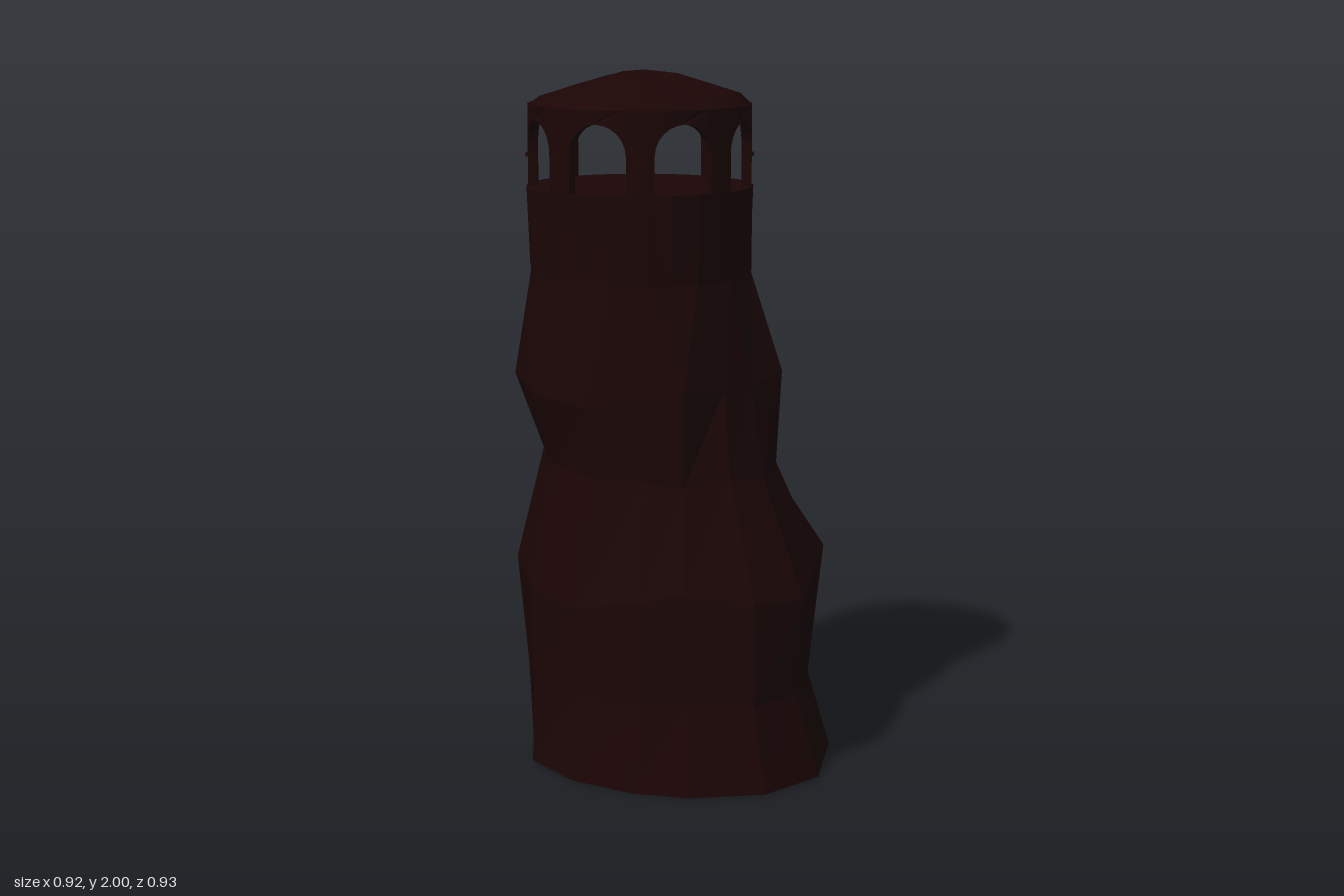
import * as THREE from 'three';

const CX = -0.097, CZ = -0.03, R = 0.32; // axis and radius of the upper tower

// Rough faceted trunk: each ring lists radii (and height offsets) at the shared angles
const ANGLES = [3, 36, 60, 86, 106, 133, 160, 189, 216, 245, 280, 308, 337].map(THREE.MathUtils.degToRad);
const RINGS = [
  { y: 0.02, r: [0.46, 0.504, 0.50, 0.461, 0.437, 0.432, 0.44, 0.425, 0.41, 0.405, 0.39, 0.40, 0.485] },
  { y: 0.24, r: [0.395, 0.43, 0.44, 0.40, 0.40, 0.41, 0.43, 0.435, 0.43, 0.43, 0.405, 0.40, 0.425] },
  { y: 0.57, r: [0.42, 0.45, 0.44, 0.385, 0.39, 0.41, 0.44, 0.467, 0.475, 0.452, 0.473, 0.417, 0.492],
    dy: [0.02, -0.05, -0.03, 0, -0.03, -0.06, -0.03, 0, 0, 0, 0, 0, 0] },
  { y: 0.87, r: [0.297, 0.31, 0.31, 0.30, 0.31, 0.345, 0.37, 0.385, 0.365, 0.34, 0.30, 0.268, 0.285],
    dy: [0, -0.01, 0, -0.02, 0, 0, 0.02, 0.03, 0.02, 0.01, 0, 0, 0] },
  { y: 1.12, r: [0.312, 0.268, 0.275, 0.327, 0.33, 0.385, 0.43, 0.468, 0.48, 0.437, 0.37, 0.305, 0.315],
    dy: [0.02, 0, 0, 0.01, 0, -0.04, -0.02, 0, -0.01, 0, -0.02, -0.05, 0] },
  { y: 1.42, cx: CX, cz: CZ, s: 0.32 },
  { y: 1.665, cx: CX, cz: CZ, s: 0.322 },
];

function trunkGeometry() {
  const n = ANGLES.length, pos = [], index = [];
  RINGS.forEach(({ y, r, dy, cx = 0, cz = 0, s }, i) => {
    ANGLES.forEach((a, j) => {
      const rad = s ?? r[j], x = cx + rad * Math.cos(a), z = cz + rad * Math.sin(a);
      pos.push(x, i === 0 ? Math.max(0, 0.016 - 0.035 * z) : y + (dy ? dy[j] : 0), z);
    });
  });
  for (let i = 0; i < RINGS.length - 1; i++) {
    for (let j = 0; j < n; j++) {
      const a = i * n + j, b = i * n + (j + 1) % n;
      index.push(a, a + n, b, b, a + n, b + n);
    }
  }
  // Underside and top caps
  const top = (RINGS.length - 1) * n, c = pos.length / 3;
  pos.push(0, 0.016, 0, CX, 1.665, CZ);
  for (let j = 0; j < n; j++) {
    const k = (j + 1) % n;
    index.push(c, j, k, c + 1, top + k, top + j);
  }
  const g = new THREE.BufferGeometry();
  g.setAttribute('position', new THREE.Float32BufferAttribute(pos, 3));
  g.setIndex(index);
  g.computeVertexNormals();
  return g;
}

// One eighth of the arcade: a pierced strip bent round the tower axis
function archGeometry() {
  const half = R * Math.PI / 8, open = 0.086, y0 = 1.665, spring = 1.78, y1 = 1.905, thick = 0.026;
  const s = new THREE.Shape();
  s.moveTo(-half, y0);
  s.lineTo(-open, y0);
  for (let i = 0; i <= 12; i++) {
    const t = Math.PI * (1 - i / 12);
    s.lineTo(open * Math.cos(t), spring + 0.086 * Math.sin(t));
  }
  s.lineTo(open, y0);
  s.lineTo(half, y0);
  for (let i = 0; i <= 6; i++) s.lineTo(half - 2 * half * i / 6, y1);
  s.closePath();
  const g = new THREE.ExtrudeGeometry(s, { depth: thick, bevelEnabled: false });
  const p = g.attributes.position;
  for (let i = 0; i < p.count; i++) {
    const a = p.getX(i) / R, r = R - thick + p.getZ(i);
    p.setXYZ(i, r * Math.sin(a), p.getY(i), r * Math.cos(a));
  }
  g.computeVertexNormals();
  return g;
}

// Shallow roof with uneven radial folds
function roofGeometry() {
  const profile = [[0, 1.885], [0.3, 1.885], [0.32, 1.9], [0.285, 1.93], [0.2, 1.956], [0.1, 1.983], [0, 2]];
  const g = new THREE.LatheGeometry(profile.map(([x, y]) => new THREE.Vector2(x, y)), 20);
  const p = g.attributes.position;
  for (let i = 0; i < p.count; i++) {
    const x = p.getX(i), y = p.getY(i), z = p.getZ(i), r = Math.hypot(x, z);
    if (y < 1.92) continue;
    const a = Math.atan2(z, x), fold = Math.sin(5 * a) * 0.005 + Math.sin(3 * a + 1) * 0.004;
    const k = 1 - r / 0.32; // the apex drifts off the axis
    p.setXYZ(i, x + 0.015 * k, y + fold * Math.min(1, r / 0.1), z + 0.008 * k);
  }
  g.computeVertexNormals();
  return g;
}

export function createModel() {
  const model = new THREE.Group();
  model.name = 'tower';
  const stone = new THREE.MeshStandardMaterial({ color: 0x1b0505, flatShading: true });
  stone.name = 'dark brown stone';

  const add = (name, geometry, parent = model) => {
    const mesh = new THREE.Mesh(geometry, stone);
    mesh.name = name;
    parent.add(mesh);
    return mesh;
  };

  add('trunk', trunkGeometry());

  const lantern = new THREE.Group();
  lantern.name = 'lantern';
  lantern.position.set(CX, 0, CZ);
  model.add(lantern);

  // Round drum below the arcade
  add('drum', new THREE.CylinderGeometry(0.325, 0.316, 0.23, 24), lantern).position.y = 1.557;

  // Eight arches, with small knobs on the posts between them
  const arch = archGeometry();
  const knob = new THREE.BoxGeometry(0.04, 0.01, 0.012);
  for (let i = 0; i < 8; i++) {
    const a = i * Math.PI / 4;
    add('arch', arch, lantern).rotation.y = a + Math.PI / 8;
    const k = add('postKnob', knob, lantern);
    k.position.set(R * Math.sin(a), 1.76, R * Math.cos(a));
    k.rotation.y = a;
  }

  add('roof', roofGeometry(), lantern);
  return model;
}
